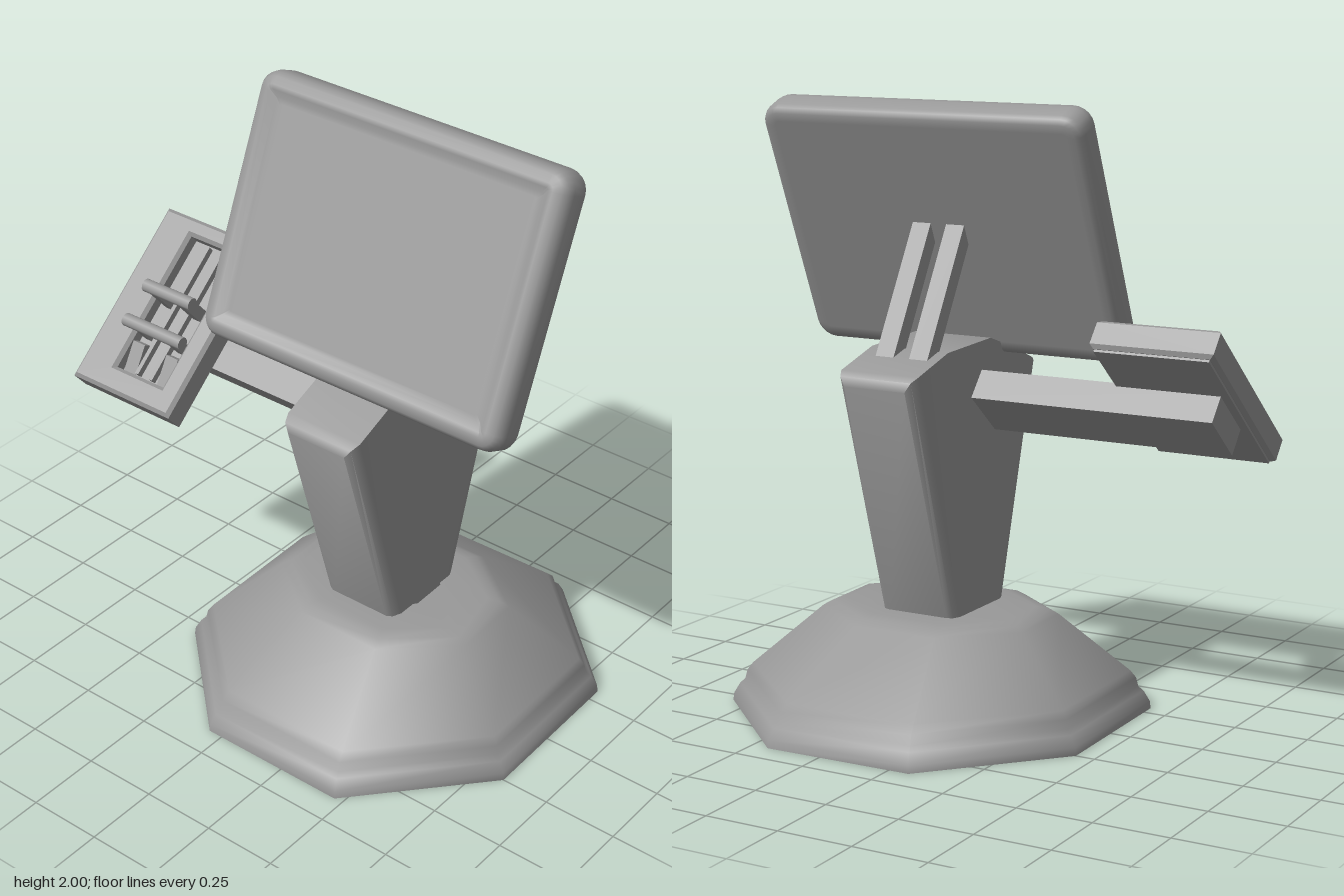
import * as THREE from 'three';
import { toCreasedNormals } from 'three/addons/utils/BufferGeometryUtils.js';

const grey = new THREE.MeshStandardMaterial({ color: 0x999999, side: THREE.DoubleSide });

function add(parent, name, geometry, x = 0, y = 0, z = 0) {
  const mesh = new THREE.Mesh(geometry, grey);
  mesh.name = name;
  mesh.position.set(x, y, z);
  parent.add(mesh);
  return mesh;
}

// Skin through rings of equal point count, with optional strip caps on the ends
function loft(rings, crease, capStart, capEnd) {
  const n = rings[0].length, index = [];
  for (let k = 0; k < rings.length - 1; k++) {
    for (let i = 0; i < n; i++) {
      const a = k * n + i, b = k * n + (i + 1) % n;
      index.push(a, b, b + n, a, b + n, a + n);
    }
  }
  const cap = (o, flip) => {
    for (let i = 0; i < n / 2 - 1; i++) {
      const a = o + i, b = o + i + 1, c = o + n - 2 - i, d = o + n - 1 - i;
      index.push(...(flip ? [a, c, b, a, d, c] : [a, b, c, a, c, d]));
    }
  };
  if (capStart) cap(0, true);
  if (capEnd) cap((rings.length - 1) * n, false);
  const g = new THREE.BufferGeometry();
  g.setAttribute('position', new THREE.Float32BufferAttribute(rings.flat(2), 3));
  g.setIndex(index);
  return toCreasedNormals(g, crease);
}

// Rounded rectangle ring in the xy plane at depth z
function rectRing(hw, hh, r, z) {
  const ring = [];
  [[1, 1], [-1, 1], [-1, -1], [1, -1]].forEach(([sx, sy], q) => {
    for (let i = 0; i <= 5; i++) {
      const a = (q + i / 5) * Math.PI / 2;
      ring.push([sx * (hw - r) + r * Math.cos(a), sy * (hh - r) + r * Math.sin(a), z]);
    }
  });
  return ring;
}

function rectPath(path, x0, x1, y0, y1) {
  path.moveTo(x0, y0).lineTo(x1, y0).lineTo(x1, y1).lineTo(x0, y1).closePath();
  return path;
}

function createBase() {
  const corners = [[0.635, 0.25], [0.625, -0.3], [0.24, -0.66], [-0.27, -0.65],
    [-0.635, -0.25], [-0.625, 0.3], [-0.25, 0.652], [0.27, 0.652]];
  // x scale, z scale, height: inner shell downwards, then the outer shell upwards
  const profile = [[0.22, 0.23, 0.33], [0.48, 0.36, 0.33], [0.56, 0.43, 0.31], [0.9, 0.9, 0.08],
    [0.95, 0.95, 0.005], [1, 1, 0.005], [0.995, 0.995, 0.03], [0.965, 0.965, 0.065], [0.94, 0.94, 0.08],
    [0.93, 0.925, 0.11], [0.905, 0.885, 0.135], [0.585, 0.465, 0.33], [0.54, 0.42, 0.347],
    [0.48, 0.36, 0.355], [0.22, 0.23, 0.355]];
  return loft(profile.map(([sx, sz, y]) => corners.map(([x, z]) => [x * sx, y, z * sz])), 1.1);
}

function createColumn() {
  // top z, top y, half width, bottom z, from front to back
  const stations = [[0.39, 1.09, 0.11, 0.165], [0.38, 1.115, 0.128, 0.155], [0.35, 1.13, 0.14, 0.125],
    [0.2, 1.19, 0.14, 0.08], [0.07, 1.235, 0.14, 0.03], [-0.2, 1.225, 0.14, -0.08],
    [-0.38, 1.175, 0.14, -0.122], [-0.405, 1.16, 0.128, -0.147], [-0.413, 1.13, 0.11, -0.155]];
  const ring = (f) => [...stations.map((s) => f(s, 1)), ...stations.map((s) => f(s, -1)).reverse()];
  return loft([
    ring(([, , w, zb], s) => [s * w, 0.33, zb]),
    ring(([z, y, w], s) => [s * w, y, z]),
  ], 0.85, false, true);
}

function createScreen() {
  const W = 0.578, H = 0.434;
  // inset, depth: flat back, rounded rim, bezel, recessed display
  const steps = [[0.05, -0.066], [0.022, -0.066], [0.006, -0.056], [0, -0.04], [0, 0.015], [0.006, 0.04],
    [0.02, 0.058], [0.045, 0.067], [0.06, 0.066], [0.08, 0.05], [0.1, 0.05]];
  return loft(steps.map(([d, z]) => rectRing(W - d, H - d, Math.max(0.065 - d, 0.008), z)), 0.7, true, true);
}

// Tilted card reader, local z is the normal of its face at z = 0
function createReader() {
  const reader = new THREE.Group();
  reader.name = 'cardReader';
  const body = rectPath(new THREE.Shape(), -0.207, 0.207, -0.32, 0.32);
  body.holes.push(rectPath(new THREE.Path(), -0.07, 0.13, -0.235, 0.26));
  const b = 0.012;
  const frame = new THREE.ExtrudeGeometry(body, {
    depth: 0.1 - 2 * b, bevelThickness: b, bevelSize: b, bevelOffset: -b, bevelSegments: 1,
  });
  add(reader, 'readerBody', toCreasedNormals(frame, 0.5), 0, 0, b - 0.1);
  add(reader, 'backPlate', new THREE.BoxGeometry(0.386, 0.612, 0.06), 0, 0, -0.078);

  // Guide rails, roller brackets and ramps, mirrored about the pocket's middle
  for (const s of [-1, 1]) {
    add(reader, 'guideRail', new THREE.BoxGeometry(0.014, 0.48, 0.03), 0.03 + s * 0.03, 0.012, -0.04);
    add(reader, 'rearBracket', new THREE.BoxGeometry(0.03, 0.04, 0.12), 0.03 + s * 0.06, 0.036, 0.01);
    add(reader, 'frontBracket', new THREE.BoxGeometry(0.025, 0.035, 0.1), 0.03 + s * 0.07, -0.089, -0.01);
    const ramp = add(reader, 'ramp', new THREE.BoxGeometry(0.05, 0.11, 0.03), 0.03 + s * 0.072, -0.18, -0.045);
    ramp.rotation.x = 0.35;
  }
  for (const [name, len, y, z] of [['rearRoller', 0.2, 0.036, 0.072], ['frontRoller', 0.245, -0.089, 0.045]]) {
    add(reader, name, new THREE.CylinderGeometry(0.022, 0.022, len, 12), 0.03, y, z).rotation.z = Math.PI / 2;
  }
  return reader;
}

export function createModel() {
  const model = new THREE.Group();
  model.name = 'paymentTerminal';
  add(model, 'base', createBase(), 0.2, 0, 0);
  add(model, 'column', createColumn(), 0.19, 0, 0);

  const screen = add(model, 'screen', createScreen(), 0.184, 1.592, 0.043);
  screen.rotation.x = -0.405;

  // Twin struts from the column to the back of the screen
  for (const x of [0.12, 0.243]) {
    const strut = add(model, 'screenStrut', new THREE.BoxGeometry(0.066, 0.55, 0.056), x, 1.385, -0.13);
    strut.rotation.x = Math.PI / 6;
  }

  // Side arm and card reader share one tilt
  const tilt = -0.87;
  add(model, 'sideArm', new THREE.BoxGeometry(0.89, 0.2, 0.105), -0.345, 1.035, 0.055).rotation.x = tilt;
  const reader = createReader();
  reader.position.set(-0.627, 1.148, 0.152);
  reader.rotation.x = tilt;
  model.add(reader);
  return model;
}
